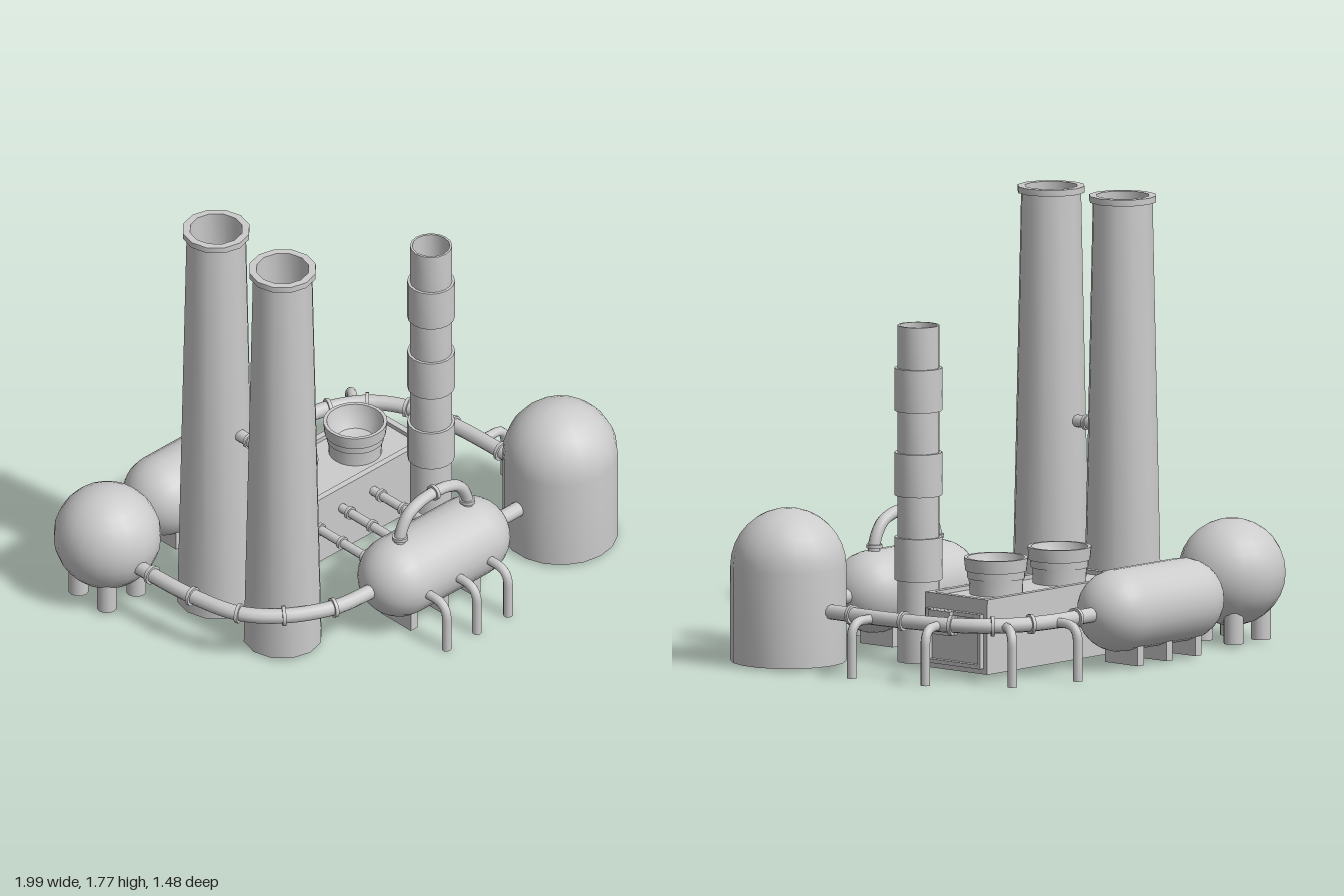
import * as THREE from 'three';
import { toCreasedNormals } from 'three/addons/utils/BufferGeometryUtils.js';

const V = (x, y, z) => new THREE.Vector3(x, y, z);
const UP = V(0, 1, 0);

export function createModel() {
  const model = new THREE.Group();
  const grey = new THREE.MeshStandardMaterial({ color: 0xcccccc, side: THREE.DoubleSide });

  function add(name, geometry, x = 0, y = 0, z = 0) {
    const mesh = new THREE.Mesh(geometry, grey);
    mesh.name = name;
    mesh.position.set(x, y, z);
    model.add(mesh);
    return mesh;
  }
  const box = (name, w, h, d, x, y, z) => add(name, new THREE.BoxGeometry(w, h, d), x, y, z);

  // Turned part from [radius, height] pairs
  function lathe(name, profile, sides, x, z) {
    const geo = new THREE.LatheGeometry(profile.map(([r, y]) => new THREE.Vector2(r, y)), sides);
    return add(name, toCreasedNormals(geo, 0.6), x, 0, z);
  }

  function pipe(name, curve, radius, segments = 24) {
    return add(name, new THREE.TubeGeometry(curve, segments, radius, 10));
  }

  // Flange ring around a pipe, facing along dir
  function collar(p, dir, radius) {
    const ring = add('pipeCollar', new THREE.CylinderGeometry(radius, radius, 0.014, 12), p.x, p.y, p.z);
    ring.quaternion.setFromUnitVectors(UP, dir.clone().normalize());
  }

  // Pipe leaving p along dir, with an elbow down to the ground
  function dropPipe(name, p, dir, reach, radius = 0.019) {
    const path = new THREE.CurvePath();
    const start = p.clone();
    const bend = p.clone().addScaledVector(dir, reach - 0.065);
    const corner = p.clone().addScaledVector(dir, reach);
    const below = corner.clone().setY(p.y - 0.065);
    path.add(new THREE.LineCurve3(start, bend));
    path.add(new THREE.QuadraticBezierCurve3(bend, corner, below));
    path.add(new THREE.LineCurve3(below, corner.clone().setY(0)));
    pipe(name, path, radius, 30);
  }

  // Two tapered chimneys with rims and a bore
  for (const z of [-0.155, 0.22]) {
    lathe('chimney', [[0.14, 0.01], [0.157, 0.01], [0.12, 1.745], [0.134, 1.745], [0.134, 1.77],
      [0.105, 1.77], [0.105, 1.4], [0, 1.4]], 12, -0.506, z);
    lathe('chimneyBore', [[0.14, 0.01], [0.115, 1.3]], 12, -0.506, z);
  }
  // Link between the chimneys
  pipe('chimneyLink', new THREE.LineCurve3(V(-0.506, 0.85, -0.1), V(-0.506, 0.85, 0.16)), 0.025, 1);
  collar(V(-0.506, 0.85, 0.033), V(0, 0, 1), 0.031);

  // Stepped exhaust stack, narrow and wide bands alternating
  const stack = [[0.083, 0.01]];
  for (let i = 0; i < 3; i++) {
    const y = 0.334 + i * 0.335;
    stack.push([0.083, y], [0.094, y], [0.094, y + 0.17], [0.083, y + 0.17]);
  }
  stack.push([0.083, 1.342], [0.074, 1.342], [0.074, 1.05], [0, 1.05]);
  lathe('exhaustStack', stack, 16, 0.444, 0.073);

  // Domed storage tank
  const dome = [[0, 0.01], [0.228, 0.01], [0.228, 0.386]];
  for (let i = 1; i <= 8; i++) {
    const a = (i / 8) * Math.PI / 2;
    dome.push([i === 8 ? 0 : 0.228 * Math.cos(a), 0.386 + 0.228 * Math.sin(a)]);
  }
  lathe('domeTank', dome, 18, 0.77, 0.465);

  // Spherical tank on four legs
  add('sphereTank', new THREE.SphereGeometry(0.212, 20, 14), -0.787, 0.278, -0.478);
  for (const sx of [-1, 1]) for (const sz of [-1, 1]) {
    add('sphereLeg', new THREE.CylinderGeometry(0.04, 0.04, 0.17, 12),
      -0.787 + sx * 0.08, 0.095, -0.478 + sz * 0.08);
  }

  // Two horizontal capsule tanks on saddles
  for (const [x, z, footX] of [[0.086, 0.46, 0.068], [-0.193, -0.578, -0.21]]) {
    const tank = add('capsuleTank', new THREE.CapsuleGeometry(0.163, 0.38, 10, 24), x, 0.226, z);
    tank.rotation.z = Math.PI / 2;
    for (const i of [-1, 0, 1]) box('tankSaddle', 0.036, 0.09, 0.17, footX + i * 0.171, 0.055, z);
  }

  // Process building: walls, sunken roof and raised parapet
  const bx = 0.102, bz = -0.205;
  box('building', 0.865, 0.28, 0.325, bx, 0.15, bz);
  for (const s of [-1, 1]) {
    box('parapet', 0.865, 0.018, 0.026, bx, 0.298, bz + s * 0.15);
    box('parapet', 0.026, 0.018, 0.325, bx + s * 0.42, 0.298, bz);
  }
  // Framed service panel on the end wall
  for (const s of [-1, 1]) {
    box('panelFrame', 0.022, 0.215, 0.016, 0.545, 0.14, bz + s * 0.135);
    box('panelFrame', 0.022, 0.016, 0.285, 0.545, 0.14 + s * 0.1, bz);
  }
  box('controlBox', 0.045, 0.095, 0.112, 0.556, 0.2, -0.152);

  // Flared roof vents with bowl interiors
  for (const x of [-0.077, 0.298]) {
    lathe('roofVent', [[0.105, 0.285], [0.105, 0.31], [0.108, 0.352], [0.113, 0.352], [0.115, 0.382],
      [0.121, 0.382], [0.126, 0.434], [0.112, 0.434], [0.1, 0.385], [0.075, 0.345], [0, 0.325]], 24, x, -0.204);
  }

  // Three pipes from the building through the front tank and down to the ground
  for (const x of [-0.095, 0.069, 0.239]) {
    pipe('feedPipe', new THREE.LineCurve3(V(x, 0.21, -0.06), V(x, 0.21, 0.35)), 0.019, 1);
    for (const z of [0.005, 0.13, 0.26]) collar(V(x, 0.21, z), V(0, 0, 1), 0.027);
    dropPipe('frontDropPipe', V(x, 0.21, 0.56), V(0, 0, 1), 0.16);
  }

  // Arched pipe over the front tank
  const arch = new THREE.CatmullRomCurve3([V(-0.1, 0.35, 0.46), V(-0.095, 0.42, 0.46), V(-0.055, 0.49, 0.46),
    V(0.01, 0.522, 0.46), V(0.085, 0.53, 0.46), V(0.16, 0.522, 0.46), V(0.225, 0.49, 0.46),
    V(0.265, 0.42, 0.46), V(0.27, 0.35, 0.46)]);
  pipe('archPipe', arch, 0.024, 36);
  collar(V(0.085, 0.53, 0.46), V(1, 0, 0), 0.033);
  for (const x of [-0.098, 0.268]) collar(V(x, 0.405, 0.46), UP, 0.032);

  // Ring mains given as [x, z] points, with collars at the listed points
  function ringMain(name, points, collars) {
    const y = 0.225;
    const pts = points.map(([x, z]) => V(x, y, z));
    pipe(name, new THREE.CatmullRomCurve3(pts), 0.03, 48);
    for (const i of collars) collar(pts[i], pts[i + 1].clone().sub(pts[i - 1]), 0.04);
  }
  ringMain('leftMain', [[-0.2, 0.46], [-0.3, 0.459], [-0.44, 0.44], [-0.62, 0.345], [-0.735, 0.21],
    [-0.785, 0], [-0.798, -0.215], [-0.798, -0.36]], [2, 3, 4, 5, 6]);
  ringMain('rightMain', [[0.1, -0.577], [0.25, -0.577], [0.37, -0.575], [0.487, -0.552], [0.625, -0.475],
    [0.715, -0.34], [0.76, -0.13], [0.772, 0.13], [0.772, 0.3]], [1, 3, 4, 5, 6, 7]);
  pipe('tankLink', new THREE.LineCurve3(V(0.38, 0.225, 0.458), V(0.6, 0.225, 0.458)), 0.031, 1);

  // Branches from the right main down to the ground
  for (const [x, z, dx, dz] of [[0.37, -0.57, 0, -0.125], [0.585, -0.505, 0.07, -0.1],
    [0.73, -0.29, 0.12, -0.033], [0.77, 0.018, 0.13, 0]]) {
    const d = V(dx, 0, dz);
    const reach = d.length();
    dropPipe('branchPipe', V(x, 0.222, z), d.normalize(), reach);
  }
  return model;
}
